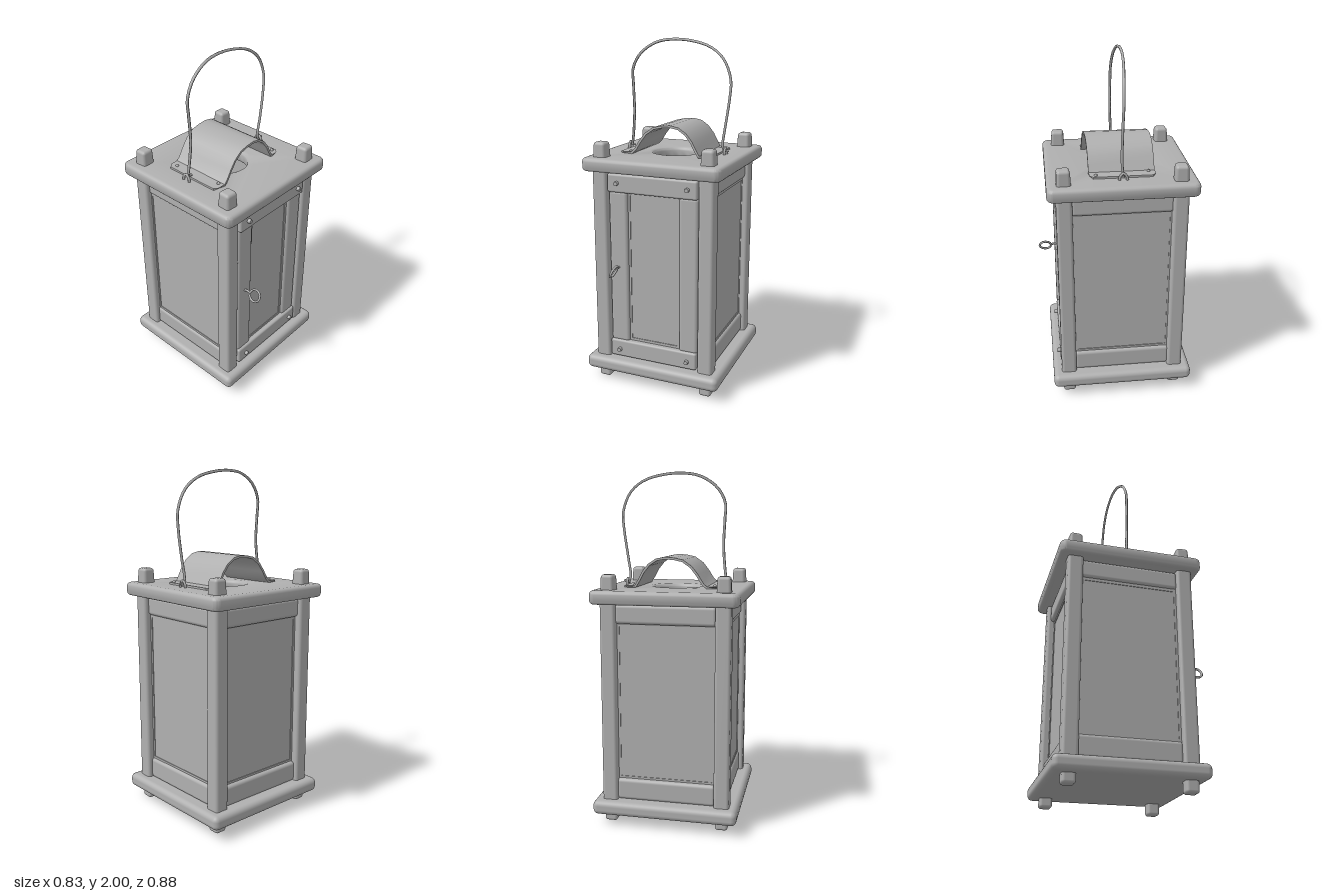
import * as THREE from 'three';
import { toCreasedNormals } from 'three/addons/utils/BufferGeometryUtils.js';
import { RoundedBoxGeometry } from 'three/addons/geometries/RoundedBoxGeometry.js';

const CZ = -0.026; // depth centre of the lantern body

export function createModel() {
  const grey = new THREE.MeshStandardMaterial({ color: 0xb0b0b0 });
  grey.name = 'lantern grey';
  const root = new THREE.Group();
  root.name = 'lantern';

  const add = (name, geo, parent = root) => {
    const m = new THREE.Mesh(geo, grey);
    m.name = name;
    parent.add(m);
    return m;
  };
  // rounded box given by its lower and upper corners
  const block = (name, a, b, r, parent = root) => {
    const s = a.map((v, i) => b[i] - v);
    const m = add(name, new RoundedBoxGeometry(s[0], s[1], s[2], 3, r), parent);
    m.position.set(...a.map((v, i) => (v + b[i]) / 2));
    return m;
  };
  const wire = (name, pts, r, parent = root) => add(name, new THREE.TubeGeometry(
    new THREE.CatmullRomCurve3(pts.map(p => new THREE.Vector3(...p))), pts.length * 3, r, 6), parent);
  // thin glass pane with softly rounded corners
  const pane = (halfWidth, y0, y1, z, parent) => {
    const w = halfWidth, c = 0.015;
    const s = new THREE.Shape();
    s.moveTo(-w + c, y0).lineTo(w - c, y0).quadraticCurveTo(w, y0, w, y0 + c);
    s.lineTo(w, y1 - c).quadraticCurveTo(w, y1, w - c, y1);
    s.lineTo(-w + c, y1).quadraticCurveTo(-w, y1, -w, y1 - c);
    s.lineTo(-w, y0 + c).quadraticCurveTo(-w, y0, -w + c, y0);
    add('glassPane', new THREE.ExtrudeGeometry(s, { depth: 0.008, bevelEnabled: false, curveSegments: 4 }), parent)
      .position.z = z - 0.008;
  };
  // narrow flat border around a pane
  const border = (w, y0, y1, t, z, parent) => {
    const s = new THREE.Shape();
    s.moveTo(-w, y0).lineTo(w, y0).lineTo(w, y1).lineTo(-w, y1);
    const h = new THREE.Path();
    h.moveTo(-w + t, y0 + t).lineTo(-w + t, y1 - t).lineTo(w - t, y1 - t).lineTo(w - t, y0 + t);
    s.holes.push(h);
    add('paneBorder', new THREE.ExtrudeGeometry(s, { depth: 0.012, bevelEnabled: false }), parent).position.z = z - 0.012;
  };

  // base plate
  block('basePlate', [-0.415, 0.065, -0.438], [0.412, 0.147, 0.388], 0.03);

  // top plate with a round smoke hole
  const H = 0.39, c = 0.02;
  const outline = new THREE.Shape();
  outline.moveTo(-H + c, -H).lineTo(H - c, -H).quadraticCurveTo(H, -H, H, -H + c);
  outline.lineTo(H, H - c).quadraticCurveTo(H, H, H - c, H);
  outline.lineTo(-H + c, H).quadraticCurveTo(-H, H, -H, H - c);
  outline.lineTo(-H, -H + c).quadraticCurveTo(-H, -H, -H + c, -H);
  const hole = new THREE.Path();
  hole.absarc(0, 0, 0.155, 0, Math.PI * 2, true);
  outline.holes.push(hole);
  const top = new THREE.ExtrudeGeometry(outline, {
    depth: 0.033, bevelEnabled: true, bevelThickness: 0.022, bevelSize: 0.024, bevelSegments: 4, curveSegments: 16,
  });
  top.rotateX(-Math.PI / 2);
  add('topPlate', toCreasedNormals(top, 0.7)).position.set(-0.002, 1.299, CZ);

  // corner posts with a tapered peg above and a foot below
  for (const x of [-0.324, 0.319]) {
    for (const z of [0.295, -0.343]) {
      block('cornerPost', [x - 0.044, 0.13, z - 0.044], [x + 0.044, 1.295, z + 0.044], 0.018);
      const peg = block('topPeg', [x - 0.041, 1.32, z - 0.041], [x + 0.041, 1.438, z + 0.041], 0.018);
      peg.rotation.y = x * z > 0 ? 0.05 : -0.05;
      const p = peg.geometry.attributes.position;
      for (let i = 0; i < p.count; i++) {
        const k = 0.93 - p.getY(i) * 1.2;
        p.setX(i, p.getX(i) * k);
        p.setZ(i, p.getZ(i) * k);
      }
      block('foot', [x - 0.036, z > 0 ? 0 : 0.012, z - 0.036], [x + 0.036, 0.08, z + 0.036], 0.016);
    }
  }

  // three glazed walls: left, right and back
  for (const [name, angle, x, out] of [['leftWall', Math.PI / 2, -0.002, 0.322],
    ['rightWall', -Math.PI / 2, -0.002, 0.327], ['backWall', Math.PI, -0.002, 0.315]]) {
    const wall = new THREE.Group();
    wall.name = name;
    wall.position.set(x, 0, CZ);
    wall.rotation.y = angle;
    root.add(wall);
    block('upperRail', [-0.285, 1.165, 0.275], [0.285, 1.275, 0.342], 0.02, wall);
    block('lowerRail', [-0.285, 0.145, 0.275], [0.285, 0.268, 0.342], 0.02, wall);
    pane(0.268, 0.275, 1.155, out, wall);
    border(0.282, 0.262, 1.168, 0.018, out + 0.004, wall);
  }

  // front door: rails, stiles and a narrow pane
  const door = new THREE.Group();
  door.name = 'door';
  root.add(door);
  block('upperRail', [-0.272, 1.162, 0.285], [0.27, 1.268, 0.342], 0.012, door);
  block('lowerRail', [-0.272, 0.158, 0.285], [0.27, 0.262, 0.342], 0.012, door);
  block('rightStile', [-0.272, 0.25, 0.275], [-0.155, 1.17, 0.328], 0.02, door);
  block('leftStile', [0.158, 0.25, 0.275], [0.272, 1.17, 0.328], 0.02, door);
  pane(0.15, 0.27, 1.152, 0.308, door);
  border(0.16, 0.26, 1.165, 0.017, 0.312, door);
  for (const x of [-0.21, 0.215]) {
    for (const y of [0.205, 1.217]) {
      const nail = add('nail', new THREE.CylinderGeometry(0.012, 0.014, 0.03, 8), door);
      nail.rotation.x = Math.PI / 2;
      nail.position.set(x, y, 0.345);
    }
  }

  // pull ring on the door
  wire('ringStem', [[-0.215, 0.715, 0.32], [-0.212, 0.72, 0.345], [-0.21, 0.715, 0.368]], 0.007, door);
  const ring = add('pullRing', new THREE.TorusGeometry(0.036, 0.007, 6, 12), door);
  ring.rotation.set(0, Math.PI / 2, -0.45, 'ZYX');
  ring.position.set(-0.21, 0.713, 0.4);

  // bent smoke hood over the hole, with flat flanges and trimmed corners
  const profile = [[-0.275, 1.365], [-0.25, 1.365], [-0.205, 1.366], [-0.185, 1.385], [-0.155, 1.433], [-0.12, 1.478],
    [-0.07, 1.513], [-0.02, 1.524], [0.035, 1.528], [0.085, 1.518], [0.13, 1.488], [0.165, 1.444], [0.188, 1.4],
    [0.207, 1.367], [0.25, 1.365], [0.272, 1.365]];
  const last = profile.length - 1;
  const underside = profile.map(([x, y], i) => {
    const a = profile[Math.max(i - 1, 0)], b = profile[Math.min(i + 1, last)];
    const t = 0.013 / Math.hypot(b[0] - a[0], b[1] - a[1]);
    return [x + (b[1] - a[1]) * t, y - (b[0] - a[0]) * t];
  });
  const section = new THREE.Shape([...profile, ...underside.reverse()].map(p => new THREE.Vector2(...p)));
  const hood = new THREE.ExtrudeGeometry(section, { depth: 1, bevelEnabled: false });
  const hp = hood.attributes.position;
  for (let i = 0; i < hp.count; i++) {
    const x = hp.getX(i);
    const trim = Math.abs(x) > 0.26 ? 0.02 : 0;
    hp.setZ(i, hp.getZ(i) > 0.5 ? 0.157 - x * 0.03 - trim : -0.21 - x * 0.025 + trim);
  }
  hood.computeVertexNormals();
  add('smokeHood', toCreasedNormals(hood, 0.7));
  for (const [x, z] of [[-0.243, -0.163], [0.218, -0.18], [-0.22, 0.132], [0.25, 0.115]]) {
    add('hoodNail', new THREE.SphereGeometry(0.01, 8, 6)).position.set(x, 1.366, z);
  }

  // staples holding the wire handle
  for (const x of [-0.302, 0.3]) {
    wire('handleStaple', [[x, 1.345, -0.052], [x, 1.375, -0.048], [x, 1.392, -0.03], [x, 1.375, -0.012], [x, 1.345, -0.008]], 0.008);
  }

  // carrying handle
  wire('wireHandle', [[-0.265, 1.378, -0.026], [-0.29, 1.37, -0.03], [-0.283, 1.42, -0.028], [-0.269, 1.58, -0.021],
    [-0.275, 1.74, -0.023], [-0.277, 1.825, -0.026], [-0.23, 1.912, -0.033], [-0.135, 1.974, -0.042],
    [-0.04, 1.991, -0.048], [0.08, 1.984, -0.047], [0.2, 1.95, -0.039], [0.28, 1.885, -0.031], [0.325, 1.775, -0.026],
    [0.322, 1.68, -0.023], [0.297, 1.5, -0.022], [0.284, 1.41, -0.026], [0.292, 1.37, -0.03], [0.322, 1.378, -0.026]], 0.008);

  return root;
}
